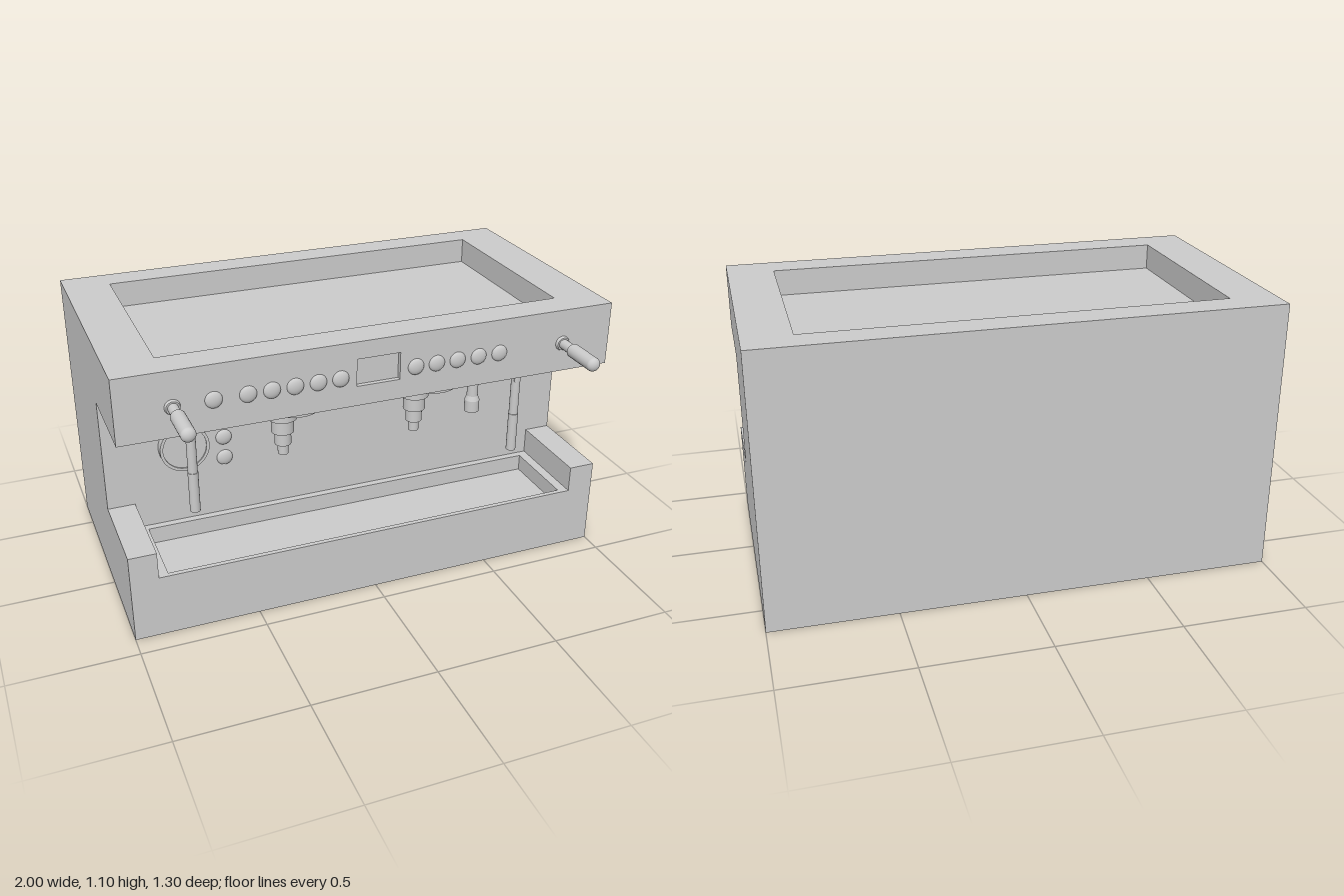
import * as THREE from 'three';

const material = new THREE.MeshStandardMaterial({ color: 0xcccccc });
const flat = new THREE.MeshStandardMaterial({ color: 0xcccccc, flatShading: true });

export function createModel() {
  const model = new THREE.Group();

  const add = (name, geometry, mat = material, parent = model) => {
    const mesh = new THREE.Mesh(geometry, mat);
    mesh.name = name;
    parent.add(mesh);
    return mesh;
  };

  // Box given by its limits
  const box = (name, x0, x1, y0, y1, z0, z1) =>
    add(name, new THREE.BoxGeometry(x1 - x0, y1 - y0, z1 - z0), flat)
      .position.set((x0 + x1) / 2, (y0 + y1) / 2, (z0 + z1) / 2);

  // Upright rectangular frame facing +z; outer and inner are [x0, x1, y0, y1]
  const frame = (name, [x0, x1, y0, y1], [u0, u1, v0, v1], depth) => {
    const shape = new THREE.Shape();
    shape.moveTo(x0, y0).lineTo(x1, y0).lineTo(x1, y1).lineTo(x0, y1);
    const hole = new THREE.Path();
    hole.moveTo(u0, v0).lineTo(u0, v1).lineTo(u1, v1).lineTo(u1, v0);
    shape.holes.push(hole);
    return add(name, new THREE.ExtrudeGeometry(shape, { depth, bevelEnabled: false }), flat);
  };

  // The same frame laid down; limits are [x0, x1, z0, z1]
  const flatFrame = (name, [x0, x1, z0, z1], [u0, u1, w0, w1], y0, y1) => {
    const mesh = frame(name, [x0, x1, -z1, -z0], [u0, u1, -w1, -w0], y1 - y0);
    mesh.rotation.x = -Math.PI / 2;
    mesh.position.y = y0;
  };

  // Crisp turned part: one frustum for each [bottomRadius, topRadius, y0, y1]
  const turned = (name, steps, x, y, z, alongZ = false) => {
    const group = new THREE.Group();
    group.name = name;
    steps.forEach(([r0, r1, y0, y1]) => {
      add(name + 'Section', new THREE.CylinderGeometry(r1, r0, y1 - y0, 32), material, group)
        .position.y = (y0 + y1) / 2;
    });
    if (alongZ) group.rotation.x = Math.PI / 2;
    group.position.set(x, y, z);
    model.add(group);
    return group;
  };

  // Straight pipe between two points
  const pipe = (name, a, b, r) => {
    const start = new THREE.Vector3(...a), end = new THREE.Vector3(...b);
    const dir = end.clone().sub(start);
    const mesh = add(name, new THREE.CylinderGeometry(r, r, dir.length(), 24));
    mesh.position.copy(start).add(end).multiplyScalar(0.5);
    mesh.quaternion.setFromUnitVectors(new THREE.Vector3(0, 1, 0), dir.normalize());
    return mesh;
  };

  // Domed push button facing +z
  const button = (name, x, y, z) => {
    const mesh = add(name, new THREE.SphereGeometry(0.033, 28, 16));
    mesh.scale.z = 0.42;
    mesh.position.set(x, y, z);
  };

  // Housing: back block, overhanging head with a sunken cup tray and display
  box('backBody', -1, 1, 0, 0.84, -0.65, 0.03);
  box('headBody', -1, 1, 0.84, 0.995, -0.65, 0.39);
  flatFrame('cupTrayRim', [-1, 1, -0.65, 0.39], [-0.815, 0.815, -0.53, 0.28], 0.995, 1.1);
  frame('controlPanel', [-1, 1, 0.84, 1.1], [-0.09, 0.085, 0.92, 1.03], 0.02).position.z = 0.39;

  // Base with drip tray recess and raised shoulders
  box('base', -1, 1, 0, 0.19, 0.03, 0.41);
  flatFrame('dripTrayRim', [-1, 1, 0.03, 0.41], [-0.85, 0.85, 0.06, 0.39], 0.19, 0.26);
  box('rightShoulder', -1, -0.89, 0.26, 0.37, 0.03, 0.41);
  box('leftShoulder', 0.89, 1, 0.26, 0.37, 0.03, 0.41);

  // Control buttons on the head and on the back wall
  [-0.64, -0.512, -0.422, -0.333, -0.243, -0.155, 0.15, 0.237, 0.325, 0.415, 0.505]
    .forEach((x) => button('controlButton', x, 0.962, 0.41));
  [0.69, 0.602, 0.51].forEach((y) => button('wallButton', -0.512, y, 0.03));

  // Lever handles with rounded ends
  [-0.79, 0.787].forEach((x) => {
    const handle = turned('leverHandle', [
      [0.03, 0.026, 0, 0.012], [0.02, 0.02, 0.012, 0.08], [0.028, 0.028, 0.08, 0.222],
    ], x, 0.96, 0.41, true);
    const tip = add('leverTip',
      new THREE.SphereGeometry(0.028, 24, 8, 0, Math.PI * 2, 0, Math.PI / 2), material, handle);
    tip.position.y = 0.222;
    tip.scale.y = 0.75;
  });

  // Pressure gauge: raised ring around a slightly sunken face
  turned('gaugeFace', [[0.09, 0.09, 0, 0.03]], -0.68, 0.6, 0.03, true);
  const ring = [[0.088, 0], [0.1, 0], [0.1, 0.036], [0.088, 0.036], [0.088, 0]]
    .map(([r, y]) => new THREE.Vector2(r, y));
  const gaugeRing = add('gaugeRing', new THREE.LatheGeometry(ring, 48), flat);
  gaugeRing.rotation.x = Math.PI / 2;
  gaugeRing.position.set(-0.68, 0.6, 0.03);

  // Brewing heads: mounting disc, broad flat elbow and stepped spout
  [-0.29, 0.287].forEach((x) => {
    turned('brewDisc', [[0.105, 0.105, 0.81, 0.84]], x, 0, 0.265);
    pipe('brewNeck', [x, 0.815, 0.195], [x, 0.745, 0.195], 0.024).scale.x = 2.5;
    pipe('brewElbow', [x, 0.748, 0.21], [x, 0.748, 0.08], 0.015).scale.x = 4;
    turned('brewSpout', [
      [0.022, 0.022, 0.53, 0.58], [0.034, 0.034, 0.575, 0.635],
      [0.046, 0.046, 0.63, 0.69], [0.06, 0.06, 0.69, 0.735],
    ], x, 0, 0.115);
  });

  // Hot water outlet
  turned('waterOutlet', [
    [0.031, 0.031, 0.615, 0.665], [0.031, 0.023, 0.665, 0.685], [0.023, 0.023, 0.685, 0.79],
    [0.025, 0.048, 0.778, 0.8], [0.048, 0.048, 0.8, 0.84],
  ], 0.515, 0, 0.195);

  // Steam wands with a double elbow
  [-0.695, 0.69].forEach((x) => {
    pipe('wandRiser', [x, 0.84, 0.08], [x, 0.735, 0.08], 0.021);
    pipe('wandArm', [x, 0.75, 0.06], [x, 0.75, 0.258], 0.016);
    pipe('wandPipe', [x, 0.765, 0.241], [x, 0.59, 0.241], 0.019);
    pipe('wandNozzle', [x, 0.59, 0.242], [x, 0.42, 0.242], 0.0205);
  });

  return model;
}
